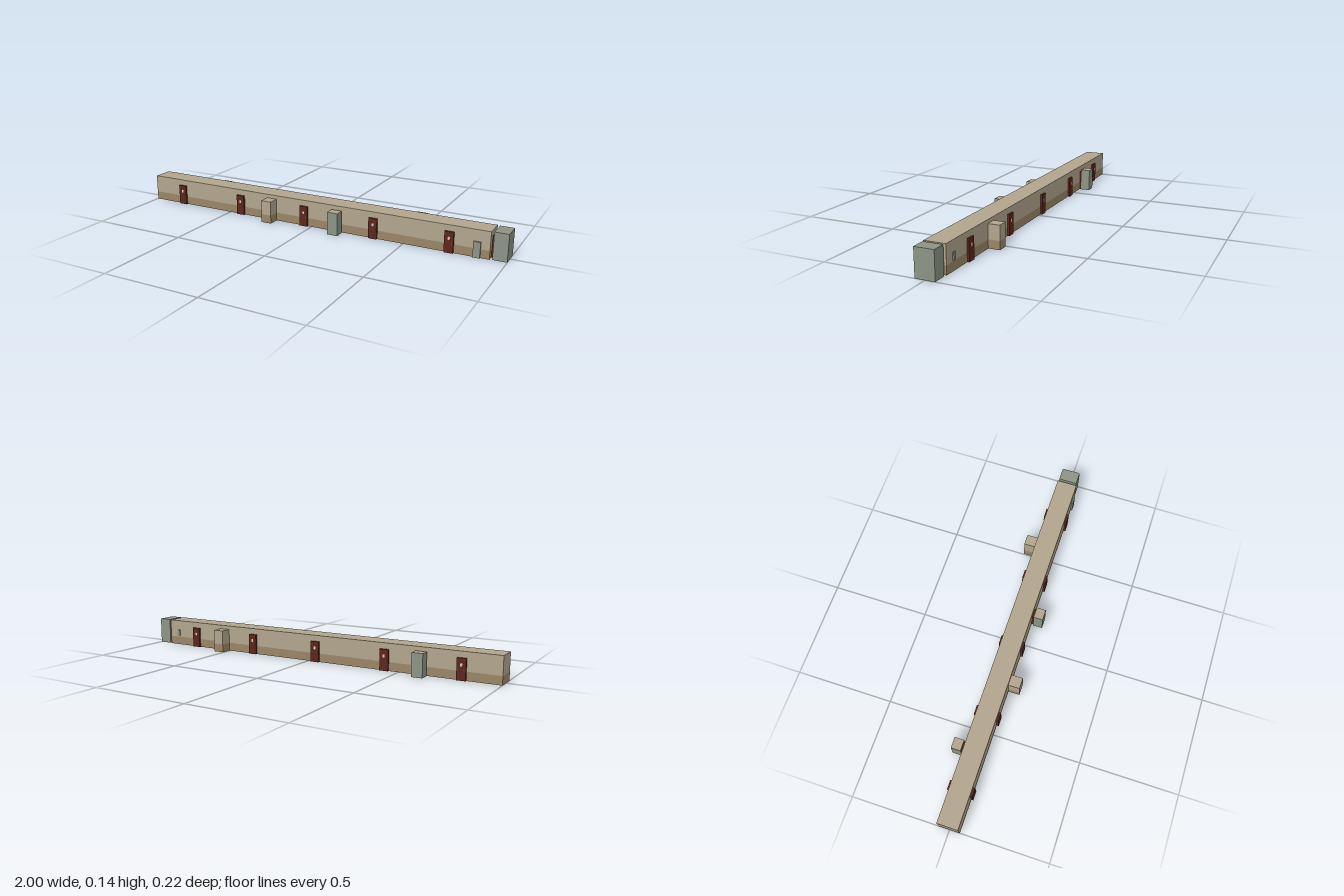
import * as THREE from 'three';

const mat = (name, color) => Object.assign(new THREE.MeshStandardMaterial({ color }), { name });

export function createModel() {
  const tan = mat('tan wall', 0xb1a58d);
  const brown = mat('brown dado', 0x9a8567);
  const grey = mat('grey green metal', 0x8c9484);
  const red = mat('dark red door', 0x5c261d);
  const floor = mat('dark red floor', 0x4a2626);
  const black = mat('charcoal underside', 0x2b2829);
  const cream = mat('cream window', 0xd6cfc0);
  const brass = mat('brass handle', 0x8a6a3c);

  const model = new THREE.Group();
  const WALL = 0.0525, BAND = 0.043, HEIGHT = 0.135;

  // Box given by its minimum and maximum corners
  function box(parent, name, [x0, y0, z0], [x1, y1, z1], material) {
    const mesh = new THREE.Mesh(new THREE.BoxGeometry(x1 - x0, y1 - y0, z1 - z0), material);
    mesh.position.set((x0 + x1) / 2, (y0 + y1) / 2, (z0 + z1) / 2);
    mesh.name = name;
    parent.add(mesh);
    return mesh;
  }
  // Face order: +x, -x, +y, -y, +z, -z
  const faces = (side, top, bottom) => [side, side, top, bottom, side, side];

  // Room with tan upper walls, brown lower walls and a dark floor
  function bandedRoom(parent, name, x0, x1, z0, z1, h) {
    const room = new THREE.Group();
    room.name = name;
    box(room, 'upperWalls', [x0, BAND, z0], [x1, h, z1], tan);
    box(room, 'lowerWalls', [x0, 0, z0], [x1, BAND, z1], faces(brown, brown, floor));
    parent.add(room);
  }

  // Door facing +z, its back on the local origin
  function door(name, plain = false) {
    const g = new THREE.Group();
    g.name = name;
    box(g, 'doorLeaf', [-0.0225, 0, 0], [0.0225, 0.105, 0.01], red);
    if (!plain) {
      box(g, 'doorWindow', [-0.005, 0.065, 0.01], [0.005, 0.08, 0.0108], cream);
      box(g, 'doorHandle', [0.012, 0.047, 0.01], [0.017, 0.052, 0.0135], brass);
    }
    model.add(g);
    return g;
  }

  // Long corridor
  bandedRoom(model, 'corridor', -1, 0.92, -WALL, WALL, HEIGHT);

  // Five doors along each side
  for (let i = 0; i < 5; i++) {
    const x = -0.812 + i * 0.385;
    door('frontDoor').position.set(x, 0, WALL);
    const back = door('backDoor');
    back.position.set(x, 0, -WALL);
    back.rotation.y = Math.PI;
  }

  // Side alcoves in wall colours
  bandedRoom(model, 'frontAlcove', -0.263, -0.207, WALL, 0.111, 0.116);
  bandedRoom(model, 'backAlcove', 0.504, 0.56, -0.111, -WALL, 0.116);

  // Metal side cabins, each joined to the corridor by a plain door
  for (const [name, x, s] of [['frontCabin', 0.148, 1], ['backCabin', -0.618, -1]]) {
    const z = [s * 0.0625, s * 0.111].sort((a, b) => a - b);
    box(model, name, [x - 0.028, 0, z[0]], [x + 0.028, 0.116, z[1]], faces(grey, tan, black));
    const link = door(name + 'Door', true);
    link.position.set(x, 0, s * WALL);
    link.rotation.y = s > 0 ? 0 : Math.PI;
  }

  // End cabin and its door
  box(model, 'endCabin', [0.932, 0, -0.048], [1, HEIGHT, 0.048], faces(grey, grey, black));
  const endDoor = door('endDoor', true);
  endDoor.position.set(0.92, 0, 0);
  endDoor.rotation.y = Math.PI / 2;
  endDoor.scale.z = 1.2;

  // Small wall cabinet in front and wall panel behind
  box(model, 'wallCabinet', [0.843, 0, WALL], [0.877, 0.078, 0.061], faces(grey, grey, black));
  box(model, 'wallPanel', [0.852, 0.048, -0.058], [0.87, 0.083, -WALL], grey);

  return model;
}
